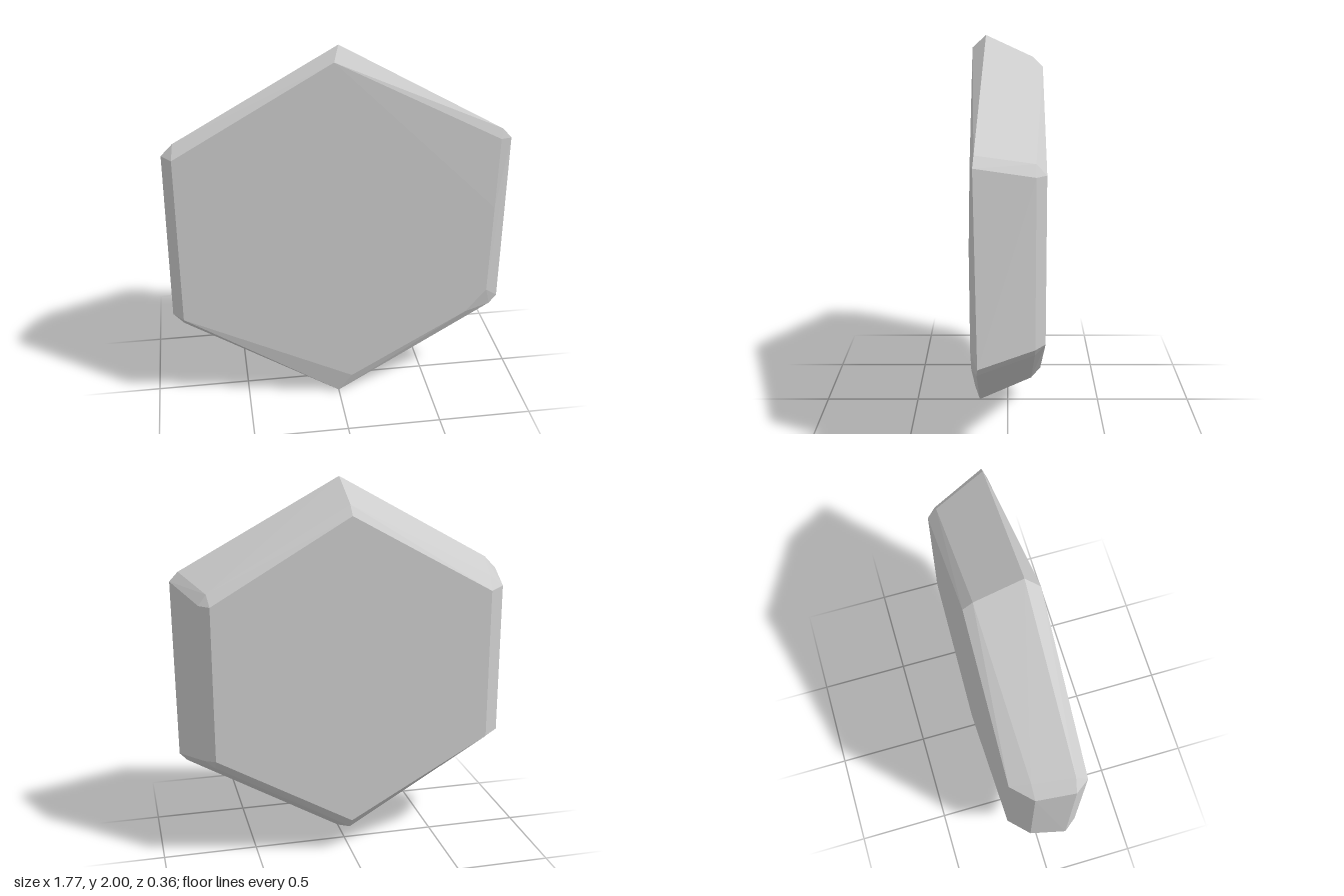
import * as THREE from 'three';
import { ConvexGeometry } from 'three/addons/geometries/ConvexGeometry.js';

export function createModel() {
  const group = new THREE.Group();
  group.name = 'hexagonalTile';

  // Rings of corners [x, y, z], clockwise from the top, front to back
  const frontFace = [
    [-0.03, 1.935, 0.18], [0.83, 1.485, 0.168], [0.82, 1.1, 0.176], [0.81, 0.6, 0.174],
    [0.7, 0.47, 0.174], [0.07, 0.11, 0.178], [-0.83, 0.56, 0.18], [-0.83, 1.475, 0.18],
  ];
  const rim = [
    [0, 2, 0.11], [0.84, 1.535, 0.15], [0.885, 1.485, 0.155], [0.88, 0.54, 0.14],
    [0.84, 0.495, 0.145], [0, 0, 0.155], [-0.83, 0.505, 0.12], [-0.885, 0.56, 0.11],
    [-0.88, 1.475, 0.11], [-0.82, 1.54, 0.12],
  ];
  const backBevel = [
    [0, 1.89, -0.13], [0.73, 1.475, -0.13], [0.77, 1.42, -0.13], [0.77, 0.595, -0.13],
    [0.72, 0.55, -0.13], [0, 0.13, -0.13], [-0.85, 0.605, -0.08],
    [-0.85, 1.42, -0.08], [-0.78, 1.475, -0.08],
  ];
  const backFace = [
    [0, 1.84, -0.18], [0.72, 1.42, -0.18], [0.72, 0.605, -0.18],
    [0, 0.19, -0.18], [-0.75, 0.61, -0.18], [-0.75, 1.42, -0.18],
  ];

  // Faceted slab wrapped around the rings
  const points = [...frontFace, ...rim, ...backBevel, ...backFace]
    .map((p) => new THREE.Vector3(...p));
  const slab = new THREE.Mesh(
    new ConvexGeometry(points),
    new THREE.MeshStandardMaterial({ color: 0xcccccc, flatShading: true })
  );
  slab.name = 'bevelledSlab';
  group.add(slab);
  return group;
}
